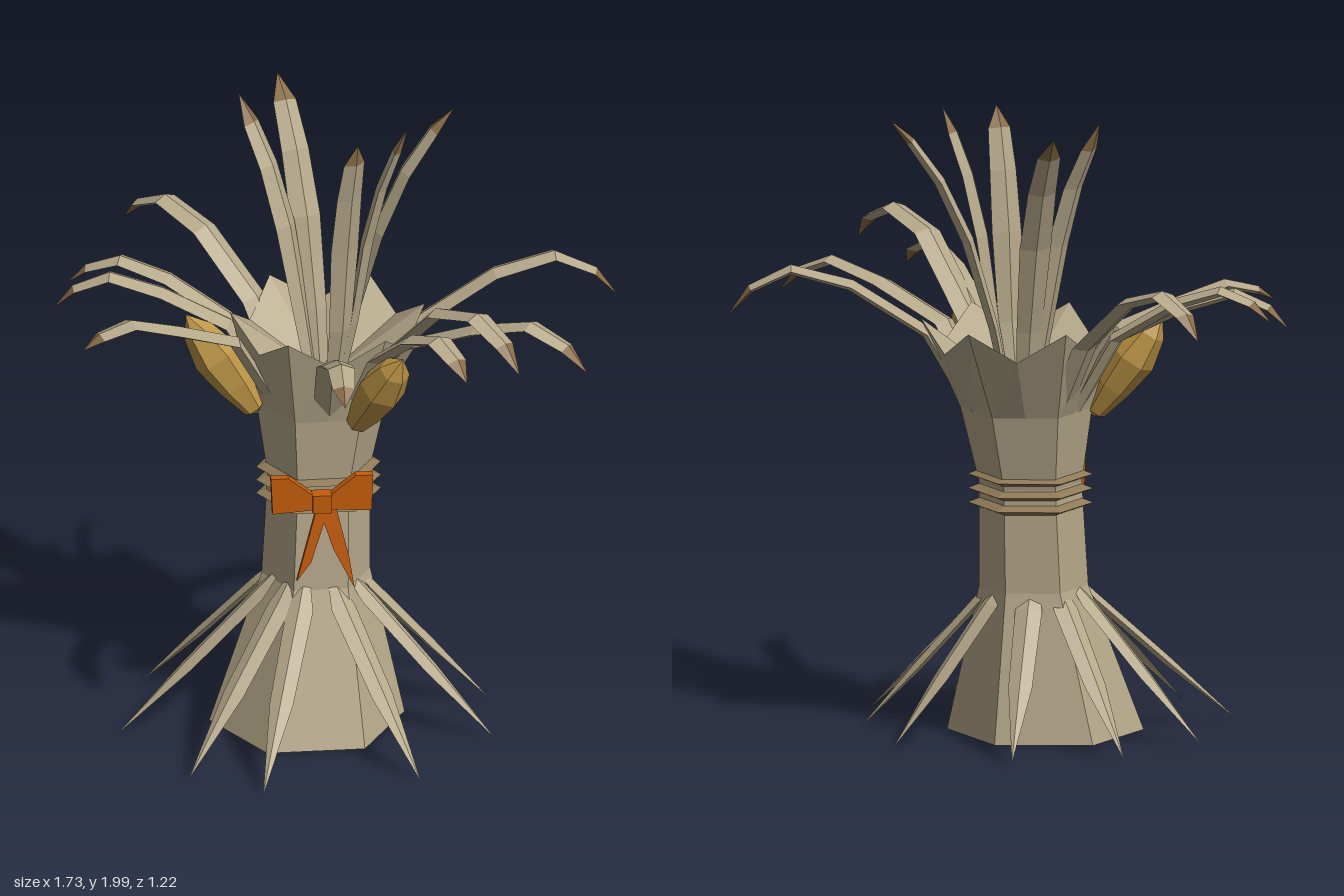
import * as THREE from 'three';

const mat = (name, color) => {
  const m = new THREE.MeshStandardMaterial({ color, flatShading: true, side: THREE.DoubleSide });
  m.name = name;
  return m;
};
const V = (x, y, z) => new THREE.Vector3(x, y, z);

// Skins a list of equal-length closed rings with flat quads
function skin(rings) {
  const pos = [];
  const tri = (a, b, c) => {
    if (a.distanceTo(b) < 1e-5 || b.distanceTo(c) < 1e-5 || c.distanceTo(a) < 1e-5) return;
    for (const p of [a, b, c]) pos.push(p.x, p.y, p.z);
  };
  for (let i = 0; i + 1 < rings.length; i++) {
    const n = rings[i].length;
    for (let j = 0; j < n; j++) {
      const k = (j + 1) % n;
      tri(rings[i][j], rings[i][k], rings[i + 1][k]);
      tri(rings[i][j], rings[i + 1][k], rings[i + 1][j]);
    }
  }
  const g = new THREE.BufferGeometry();
  g.setAttribute('position', new THREE.Float32BufferAttribute(pos, 3));
  g.computeVertexNormals();
  return g;
}

// Hexagonal ring with edge midpoints; the midpoints may drop to make a jagged rim
function hexRing(r, y, cz, drop = 0) {
  const ring = [];
  for (let i = 0; i < 12; i++) {
    const a = (i * Math.PI) / 6, mid = i % 2;
    const d = mid ? r * Math.cos(Math.PI / 6) : r;
    ring.push(V(-0.06 + d * Math.sin(a), y - mid * drop, cz + d * Math.cos(a)));
  }
  return ring;
}

// Ridged leaf: diamond cross-sections along a path, spread along a side vector
function leafRings(points, widths, side) {
  return points.map((p, i) => {
    const t = points[Math.min(i + 1, points.length - 1)].clone().sub(points[Math.max(i - 1, 0)]).normalize();
    const n = t.cross(side).normalize();
    const w = widths[i] / 2, h = w * 0.38;
    return [[w, 0], [0, h], [-w, 0], [0, -h]].map(([a, b]) =>
      p.clone().addScaledVector(side, a).addScaledVector(n, b));
  });
}

export function createModel() {
  const straw = mat('dry straw', 0xb5a88a);
  const tipMat = mat('brown leaf tip', 0x8a6d48);
  const rope = mat('twine', 0x8f7a58);
  const orange = mat('orange ribbon', 0xc45c0c);
  const gold = mat('golden cob', 0xbd9646);
  const model = new THREE.Group();
  model.name = 'stalkBundle';
  const add = (geo, m, name, parent = model) => {
    const mesh = new THREE.Mesh(geo, m);
    mesh.name = name;
    parent.add(mesh);
    return mesh;
  };

  // Bundle body with a closed foot and a hollow jagged mouth
  add(skin([
    hexRing(0, 0, 0), hexRing(0.306, 0, 0), hexRing(0.17, 0.47, -0.07),
    hexRing(0.16, 0.8, -0.09), hexRing(0.205, 1.04, -0.115),
    hexRing(0.305, 1.33, -0.16, 0.09), hexRing(0, 1.1, -0.15),
  ]), straw, 'bundleBody');

  // Twine loops around the waist
  for (const y of [0.735, 0.78, 0.825]) {
    add(skin([hexRing(0.15, y - 0.018, -0.09), hexRing(0.196, y, -0.09), hexRing(0.15, y + 0.018, -0.09)]),
      rope, 'twineLoop');
  }

  // Builds one leaf from [distance, height, width] stations toward a tip
  function leaf(name, cx, cz, tip, stations, brownTip) {
    const dir = V(tip[0] - cx, 0, tip[2] - cz).normalize();
    const side = V(dir.z, 0, -dir.x);
    const pts = stations.map(([d, y]) => V(cx + dir.x * d, y, cz + dir.z * d));
    const rings = leafRings(pts, stations.map((s) => s[2]), side);
    const group = new THREE.Group();
    group.name = name;
    model.add(group);
    add(skin(brownTip ? rings.slice(0, -1) : rings), straw, name + 'Blade', group);
    if (brownTip) add(skin(rings.slice(-2)), tipMat, name + 'Tip', group);
  }
  const reach = (cx, cz, t) => Math.hypot(t[0] - cx, t[2] - cz);
  const mix = THREE.MathUtils.lerp;

  // Splayed leaves at the foot
  const feet = [[-0.2, 0.6], [0.06, 0.61], [0.47, 0.32], [0.55, -0.07], [0.42, -0.33],
    [0.17, -0.54], [-0.27, -0.55], [-0.54, -0.32], [-0.63, 0.0], [-0.54, 0.38]];
  for (const [x, z] of feet) {
    const tip = [x, 0, z], D = reach(-0.06, -0.05, tip);
    leaf('footLeaf', -0.06, -0.05, tip, [
      [0.11, 0.5, 0.03], [0.18, 0.42, 0.085], [mix(0.18, D, 0.5), 0.21, 0.075], [D, 0.005, 0]], false);
  }

  // Upright leaves rising from the mouth
  const uprights = [[0.1, 1.97, -0.03], [0.2, 1.98, -0.19], [0.26, 1.97, -0.41],
    [-0.35, 1.97, -0.43], [-0.38, 1.99, -0.2]];
  for (const tip of uprights) {
    const D = reach(-0.06, -0.14, tip);
    leaf('uprightLeaf', -0.06, -0.14, tip, [
      [0.05, 1.1, 0.06], [0.09, 1.3, 0.08], [mix(0.09, D, 0.25), 1.58, 0.1],
      [mix(0.09, D, 0.52), 1.77, 0.09], [mix(0.09, D, 0.8), 1.9, 0.075], [D, tip[1], 0]], true);
  }

  // Drooping leaves: tip x, y, z and crest height
  const drooping = [[-0.87, 1.38, -0.42, 1.5], [-0.85, 1.36, 0.05, 1.45], [-0.85, 1.32, 0.16, 1.43],
    [-0.62, 1.34, 0.46, 1.4], [0.3, 1.34, 0.52, 1.41], [0.6, 1.37, 0.26, 1.46],
    [0.78, 1.43, 0.26, 1.56], [0.86, 1.31, -0.08, 1.43], [0.73, 1.33, -0.61, 1.48]];
  for (const [x, y, z, crest] of drooping) {
    const tip = [x, y, z], D = reach(-0.06, -0.13, tip);
    leaf('droopingLeaf', -0.06, -0.13, tip, [
      [0.15, 1.02, 0.1], [0.3, 1.28, 0.1], [mix(0.3, D, 0.38), crest - 0.05, 0.095],
      [mix(0.3, D, 0.68), crest, 0.085], [mix(0.3, D, 0.88), mix(crest, y, 0.4), 0.07], [D, y, 0]], true);
  }

  // Cobs leaning out on either side
  const cobProfile = [[0, -0.2], [0.035, -0.18], [0.06, -0.08], [0.075, 0.03], [0.05, 0.13], [0, 0.2]]
    .map(([r, y]) => new THREE.Vector2(r, y));
  const cobs = [[V(-0.23, 1.02, 0.01), V(-0.43, 1.33, 0.08)], [V(0.1, 1.02, -0.01), V(0.31, 1.33, 0.1)]];
  for (const [a, b] of cobs) {
    const cob = add(new THREE.LatheGeometry(cobProfile, 6), gold, 'cob');
    cob.position.copy(a).lerp(b, 0.5);
    cob.quaternion.setFromUnitVectors(V(0, 1, 0), b.clone().sub(a).normalize());
  }

  // Ribbon bow on one face of the waist
  const bow = new THREE.Group();
  bow.name = 'bow';
  bow.position.set(0.015, 0.78, 0.06);
  bow.rotation.y = Math.PI / 6;
  model.add(bow);
  const plate = (pts, depth, name) => {
    const shape = new THREE.Shape(pts.map(([x, y]) => new THREE.Vector2(x, y)));
    return add(new THREE.ExtrudeGeometry(shape, { depth, bevelEnabled: false }), orange, name, bow);
  };
  for (const s of [-1, 1]) {
    plate([[0, -0.02], [s * 0.155, -0.03], [s * 0.16, 0.09], [s * 0.105, 0.09], [s * 0.03, 0.03], [0, 0.03]],
      0.03, 'bowLoop');
  }
  plate([[-0.01, 0], [-0.045, -0.13], [-0.08, -0.26], [-0.035, -0.2], [0.02, -0.03]], 0.02, 'bowTail')
    .rotation.x = -0.08;
  plate([[-0.01, -0.02], [0.035, -0.16], [0.1, -0.29], [0.085, -0.19], [0.04, 0]], 0.02, 'bowTail')
    .rotation.x = -0.08;
  add(new THREE.BoxGeometry(0.06, 0.06, 0.05), orange, 'bowKnot', bow).position.set(0, 0, 0.015);

  return model;
}
